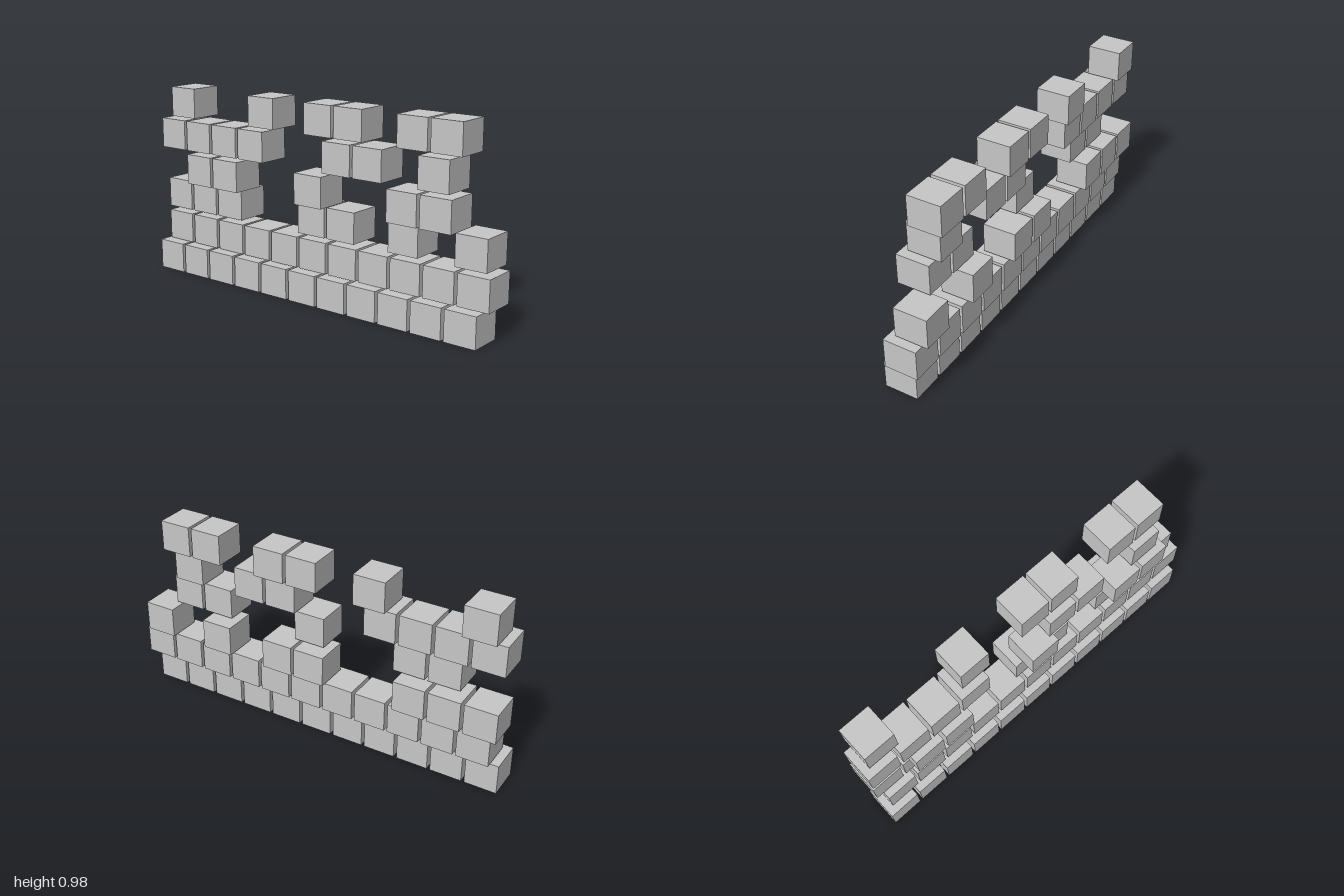
import * as THREE from 'three';

// One course per line, bottom to top: '#' is a block, '.' a gap
const COURSES = [
  '###########',
  '###########',
  '###..##.#.#',
  '.##..#..##.',
  '####..##.#.',
  '#..#.##.##.',
];
const SIZE = [0.163, 0.155, 0.173];
const PITCH_X = 0.1798, PITCH_Y = 0.165;
// Sideways start and depth shift of each course
const START_X = [-1, -0.961, -1, -0.961, -1, -0.961];
const SHIFT_Z = [0.038, 0, -0.038];

export function createModel() {
  const wall = new THREE.Group();
  wall.name = 'ruinedBlockWall';
  const stone = new THREE.MeshStandardMaterial({ color: 0xc6c6c6 });
  stone.name = 'light grey stone';
  const geometry = new THREE.BoxGeometry(...SIZE);

  COURSES.forEach((row, r) => {
    const course = new THREE.Group();
    course.name = `course${r + 1}`;
    course.position.set(START_X[r] + SIZE[0] / 2, r * PITCH_Y + SIZE[1] / 2, SHIFT_Z[r % 3]);
    [...row].forEach((cell, c) => {
      if (cell !== '#') return;
      const block = new THREE.Mesh(geometry, stone);
      block.name = `block${c + 1}`;
      block.position.x = c * PITCH_X;
      course.add(block);
    });
    wall.add(course);
  });
  return wall;
}
